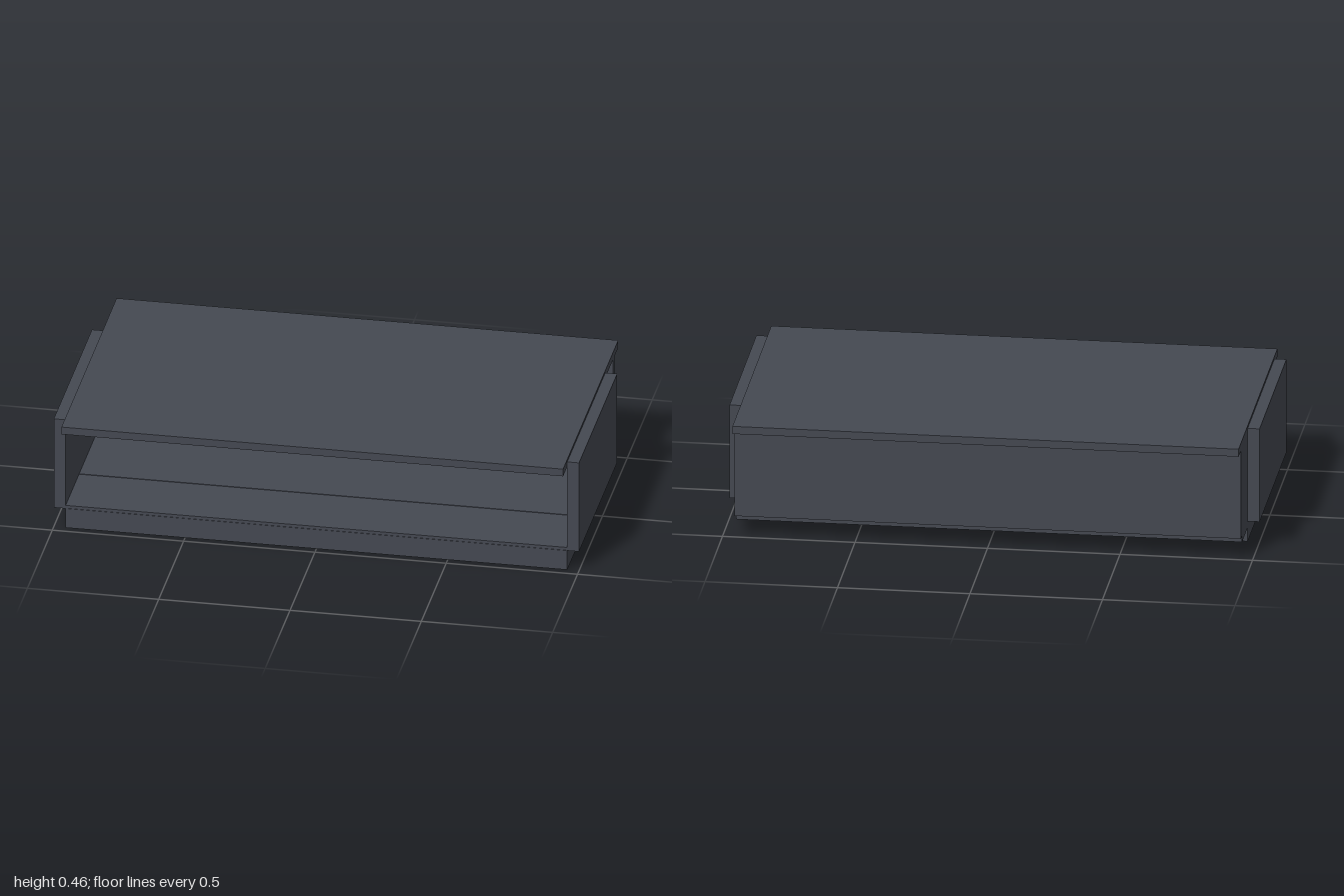
import * as THREE from 'three';

export function createModel() {
  const group = new THREE.Group();
  const slate = new THREE.MeshStandardMaterial({ color: 0x454952 });
  slate.name = 'slate grey';

  // box given by its min and max on each axis
  const box = (name, x0, x1, y0, y1, z0, z1) => {
    const mesh = new THREE.Mesh(new THREE.BoxGeometry(x1 - x0, y1 - y0, z1 - z0), slate);
    mesh.position.set((x0 + x1) / 2, (y0 + y1) / 2, (z0 + z1) / 2);
    mesh.name = name;
    group.add(mesh);
  };

  const W = 0.955;

  // main body
  box('topSlab', -W, W, 0.43, 0.46, -0.555, 0.553);
  box('base', -W, W, 0, 0.08, -0.297, 0.47);
  box('frontFloorBoard', -W, W, 0.08, 0.092, 0.2, 0.468);
  box('rearFloorBoard', -W, W, 0.08, 0.092, -0.3, 0.196);
  for (const s of [-1, 1]) {
    const xs = [s * W, s * 1.0].sort((a, b) => a - b);
    box('sidePanel', xs[0], xs[1], 0.08, 0.45, -0.297, 0.47);
    // thin mounting pads under the top
    box('mountingPad', s * 0.48 - 0.12, s * 0.48 + 0.12, 0.422, 0.43, -0.12, 0.12);
  }

  // rear compartment, open at the left end
  box('backPanel', -W, W, 0.08, 0.43, -0.49, -0.45);
  box('rearLedge', -W, W, 0.055, 0.098, -0.457, -0.297);
  box('compartmentEnd', -W, -0.935, 0.098, 0.43, -0.45, -0.306);

  // windowed partition between the front cavity and the compartment
  const zA = -0.306, zB = -0.298;
  box('partitionBottomRail', -W, W, 0.092, 0.115, zA, zB);
  box('partitionTopRail', -W, W, 0.4, 0.43, zA, zB);
  for (const x of [-0.945, -0.31, 0.326]) {
    box('partitionPost', x - 0.01, x + 0.01, 0.115, 0.4, zA, zB);
  }

  // thin dividers, three behind each window
  for (const c of [-0.64, 0, 0.64]) {
    for (const d of [-0.23, 0, 0.23]) {
      box('divider', c + d - 0.002, c + d + 0.002, 0.098, 0.43, -0.45, -0.306);
    }
  }
  return group;
}
